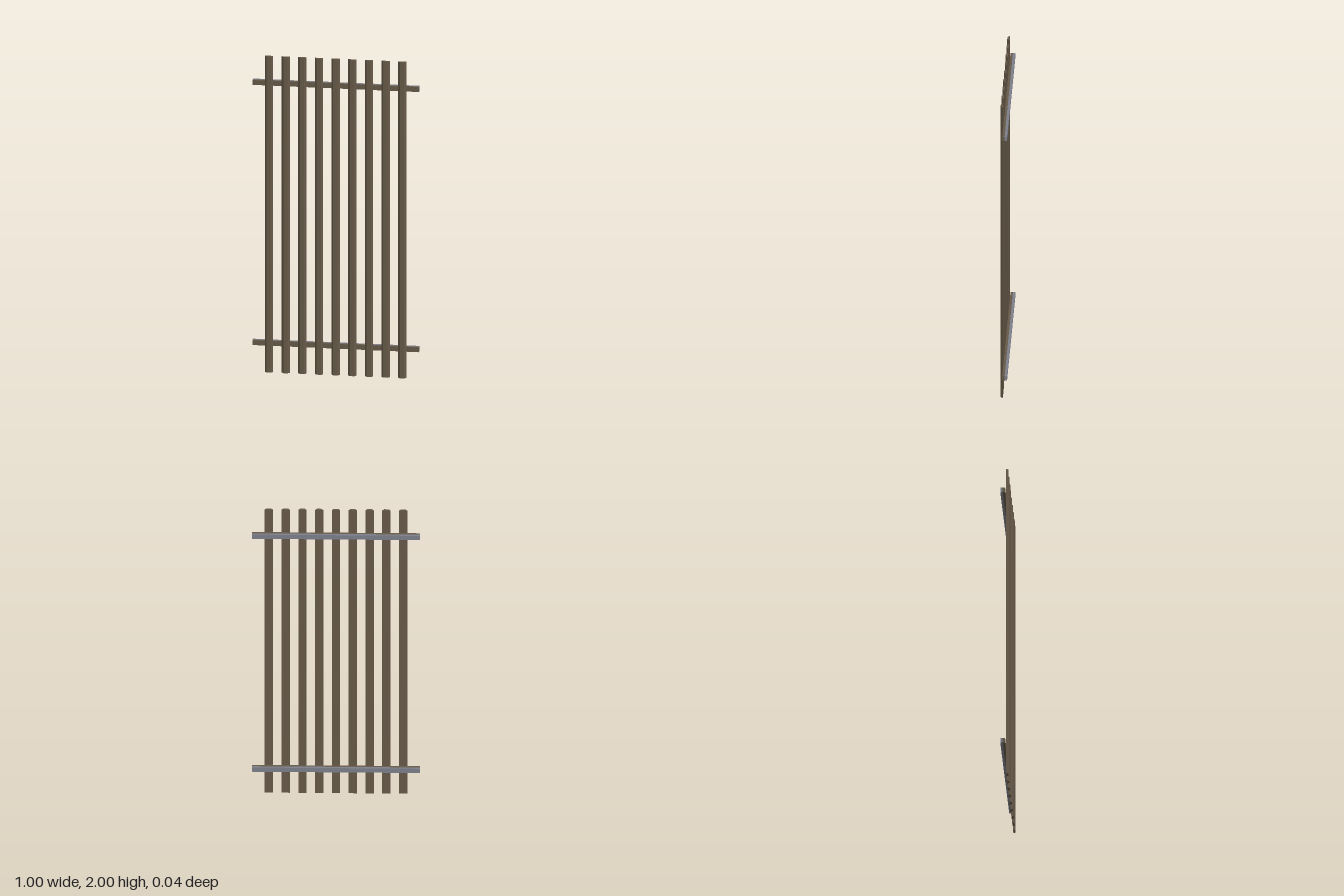
import * as THREE from 'three';

const wood = new THREE.MeshStandardMaterial({ name: 'brown wood', color: 0x665948, flatShading: true });
const metal = new THREE.MeshStandardMaterial({ name: 'grey metal', color: 0x7c7f8a, flatShading: true });

export function createModel() {
  const model = new THREE.Group();
  model.name = 'slattedFence';

  // Upright slat: trapezoid section, wide at the back and narrow at the front
  const section = new THREE.Shape([
    new THREE.Vector2(-0.025, -0.007),
    new THREE.Vector2(0.025, -0.007),
    new THREE.Vector2(0.013, -0.021),
    new THREE.Vector2(-0.013, -0.021),
  ]);
  const slatGeometry = new THREE.ExtrudeGeometry(section, { depth: 2, bevelEnabled: false });
  slatGeometry.rotateX(-Math.PI / 2); // section y becomes -z, extrusion runs up
  for (let i = -4; i <= 4; i++) {
    const slat = new THREE.Mesh(slatGeometry, wood);
    slat.name = 'slat';
    slat.position.x = i * 0.1;
    model.add(slat);
  }

  // Cross rails: a wooden batten backed by a metal bar
  const barGeometry = new THREE.BoxGeometry(1, 0.03, 0.0145);
  for (const [name, y] of [['lowerRail', 0.18], ['upperRail', 1.826]]) {
    const rail = new THREE.Group();
    rail.name = name;
    rail.position.y = y;
    const batten = new THREE.Mesh(barGeometry, wood);
    batten.name = 'batten';
    batten.position.z = -0.00025;
    const backing = new THREE.Mesh(barGeometry, metal);
    backing.name = 'metalBacking';
    backing.position.z = -0.01475;
    rail.add(batten, backing);
    model.add(rail);
  }
  return model;
}
